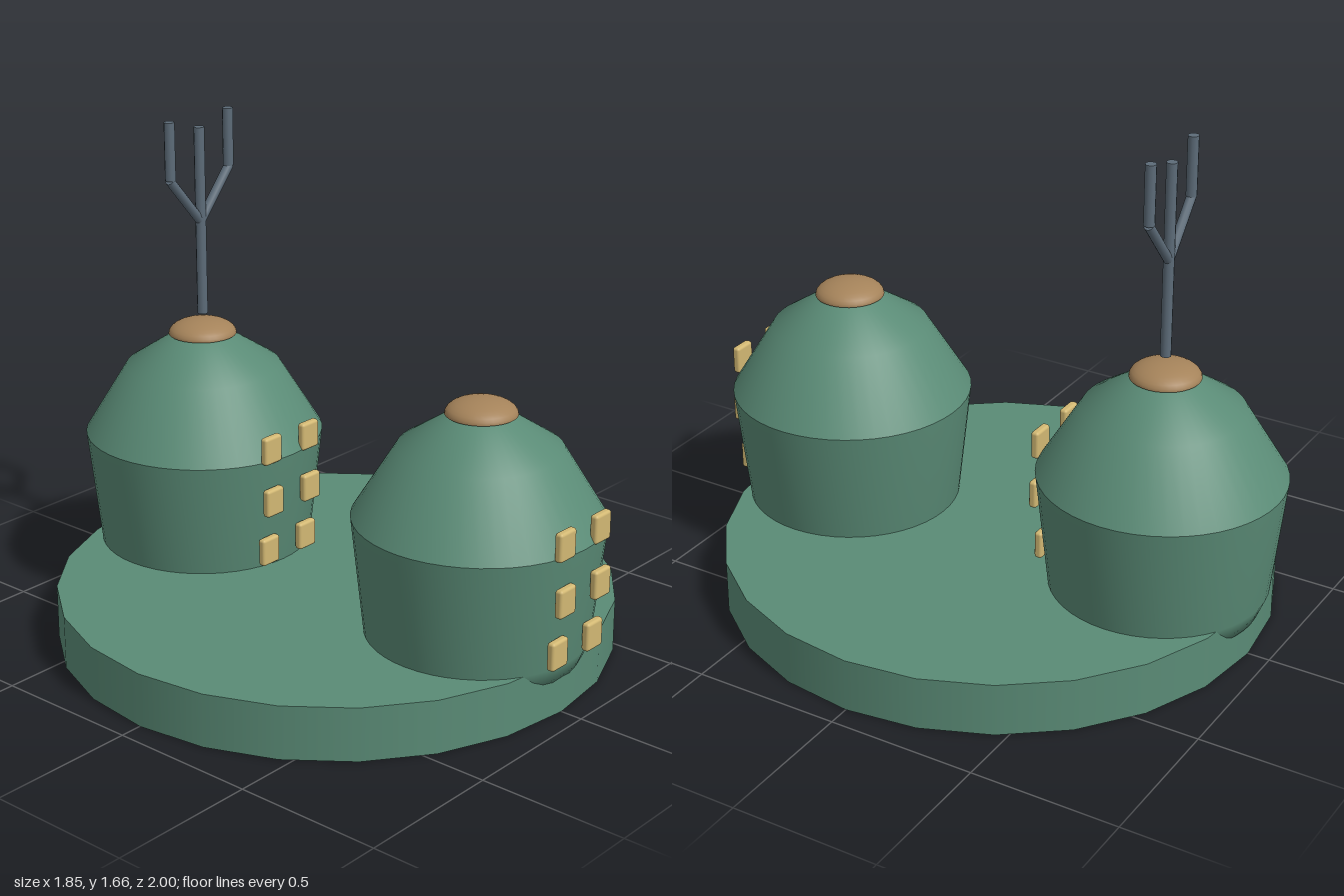
import * as THREE from 'three';
import { RoundedBoxGeometry } from 'three/addons/geometries/RoundedBoxGeometry.js';

const material = (name, color) => {
  const m = new THREE.MeshStandardMaterial({ color });
  m.name = name;
  return m;
};

function addMesh(parent, name, geometry, mat, x = 0, y = 0, z = 0) {
  const mesh = new THREE.Mesh(geometry, mat);
  mesh.name = name;
  mesh.position.set(x, y, z);
  parent.add(mesh);
  return mesh;
}

const lathe = (points) =>
  new THREE.LatheGeometry(points.map(([r, y]) => new THREE.Vector2(r, y)), 48);

// Straight round bar between two points
function addBar(parent, name, from, to, radius, mat) {
  const a = new THREE.Vector3(...from);
  const b = new THREE.Vector3(...to);
  const dir = b.clone().sub(a);
  const bar = addMesh(parent, name, new THREE.CylinderGeometry(radius, radius, dir.length(), 10), mat);
  bar.position.copy(a).add(b).multiplyScalar(0.5);
  bar.quaternion.setFromUnitVectors(new THREE.Vector3(0, 1, 0), dir.normalize());
}

export function createModel() {
  const green = material('green', 0x5a8b76);
  const bronze = material('bronze', 0xa5835a);
  bronze.side = THREE.DoubleSide;
  const gold = material('gold', 0xd2b873);
  const steel = material('steel', 0x5d6c79);

  const model = new THREE.Group();
  model.name = 'twinTowers';

  // Round platform
  addMesh(model, 'platform', new THREE.CylinderGeometry(0.925, 0.925, 0.18, 24), green, 0, 0.09, 0);

  // Shared tower parts
  const bodyGeo = lathe([[0, 0.11], [0.332, 0.11], [0.36, 0.18], [0.403, 0.57]]);
  const domeGeo = lathe([[0.403, 0.57], [0.262, 0.8], [0.095, 0.91], [0, 0.925]]);
  const capGeo = new THREE.SphereGeometry(0.115, 32, 8, 0, Math.PI * 2, 0, Math.PI / 2);
  capGeo.scale(1, 0.43, 1);
  const windowGeo = new RoundedBoxGeometry(0.08, 0.095, 0.028, 2, 0.01);
  const windowRows = [[0.248, 0.378], [0.43, 0.4], [0.613, 0.393]]; // height, distance from axis

  for (const [name, z] of [['frontTower', 0.588], ['backTower', -0.596]]) {
    const tower = new THREE.Group();
    tower.name = name;
    tower.position.z = z;
    addMesh(tower, 'body', bodyGeo, green);
    addMesh(tower, 'dome', domeGeo, green);
    addMesh(tower, 'cap', capGeo, bronze, 0, 0.91, 0);
    for (const [y, d] of windowRows)
      for (const side of [-1, 1]) addMesh(tower, 'window', windowGeo, gold, side * 0.091, y, d);
    model.add(tower);
  }

  // Three-pronged mast above the back tower
  const mast = new THREE.Group();
  mast.name = 'mast';
  mast.position.z = -0.594;
  addBar(mast, 'pole', [0, 0.98, 0], [0, 1.62, 0], 0.018, steel);
  for (const side of [-1, 1]) {
    addBar(mast, 'branch', [0, 1.3, 0], [side * 0.14, 1.465, 0], 0.016, steel);
    addBar(mast, 'prong', [side * 0.137, 1.465, 0], [side * 0.137, 1.66, 0], 0.018, steel);
  }
  model.add(mast);

  return model;
}
